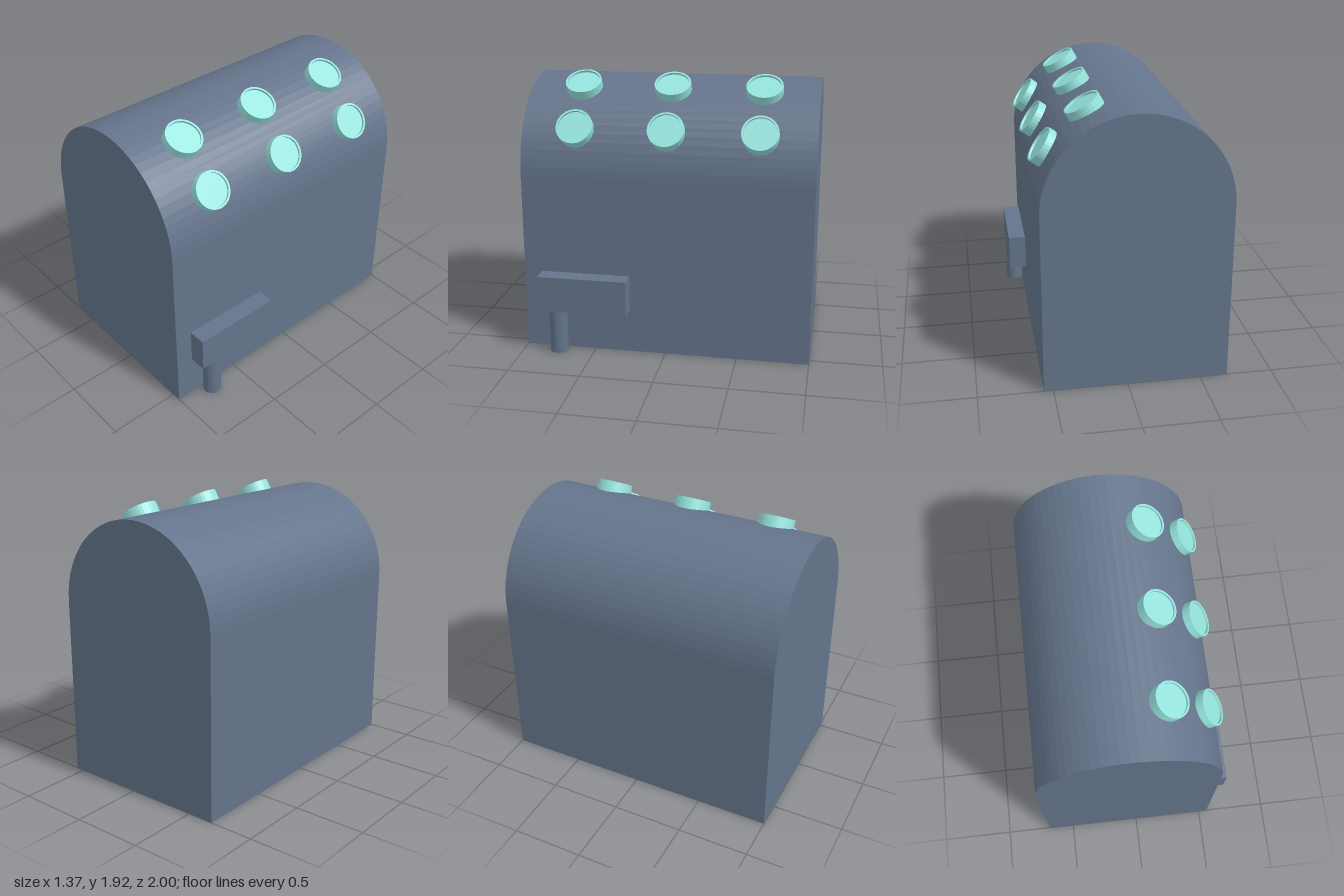
import * as THREE from 'three';

export function createModel() {
  const model = new THREE.Group();
  const slate = new THREE.MeshStandardMaterial({ color: 0x64748b, flatShading: true });
  slate.name = 'slate';
  const aqua = new THREE.MeshStandardMaterial({ color: 0x95e3dd, flatShading: true });
  aqua.name = 'aqua';

  const add = (name, geometry, material, x, y, z) => {
    const mesh = new THREE.Mesh(geometry, material);
    mesh.name = name;
    mesh.position.set(x, y, z);
    model.add(mesh);
    return mesh;
  };

  // Arched body: straight walls under a half-round roof
  const radius = 0.625;
  const arch = new THREE.Shape();
  arch.moveTo(-radius, 0);
  arch.lineTo(radius, 0);
  arch.lineTo(radius, 1.25);
  arch.absarc(0, 1.25, radius, 0, Math.PI, false);
  arch.closePath();
  const body = new THREE.ExtrudeGeometry(arch, { depth: 2, bevelEnabled: false, curveSegments: 16 });
  add('body', body, slate, -0.0625, 0, -1);

  // Side panel on a short post
  add('sidePanel', new THREE.BoxGeometry(0.125, 0.25, 0.625), slate, 0.6225, 0.4375, 0.5625);
  add('panelPost', new THREE.CylinderGeometry(0.0625, 0.0625, 0.3125, 32), slate, 0.6225, 0.15625, 0.75);

  // Roof buttons with a shallow recess, origin at the centre of the rim plane
  const profile = [[0, -0.12], [0.125, -0.12], [0.125, 0], [0.111, 0], [0.111, -0.015], [0, -0.015]];
  const button = new THREE.LatheGeometry(profile.map(([r, y]) => new THREE.Vector2(r, y)), 32);
  const rows = [
    { name: 'upperButton', x: 0.246, y: 1.86, tilt: 30 },
    { name: 'lowerButton', x: 0.521, y: 1.597, tilt: 54.5 },
  ];
  for (const row of rows) {
    for (const z of [-0.625, 0, 0.625]) {
      add(row.name, button, aqua, row.x, row.y, z).rotation.z = -THREE.MathUtils.degToRad(row.tilt);
    }
  }

  return model;
}
